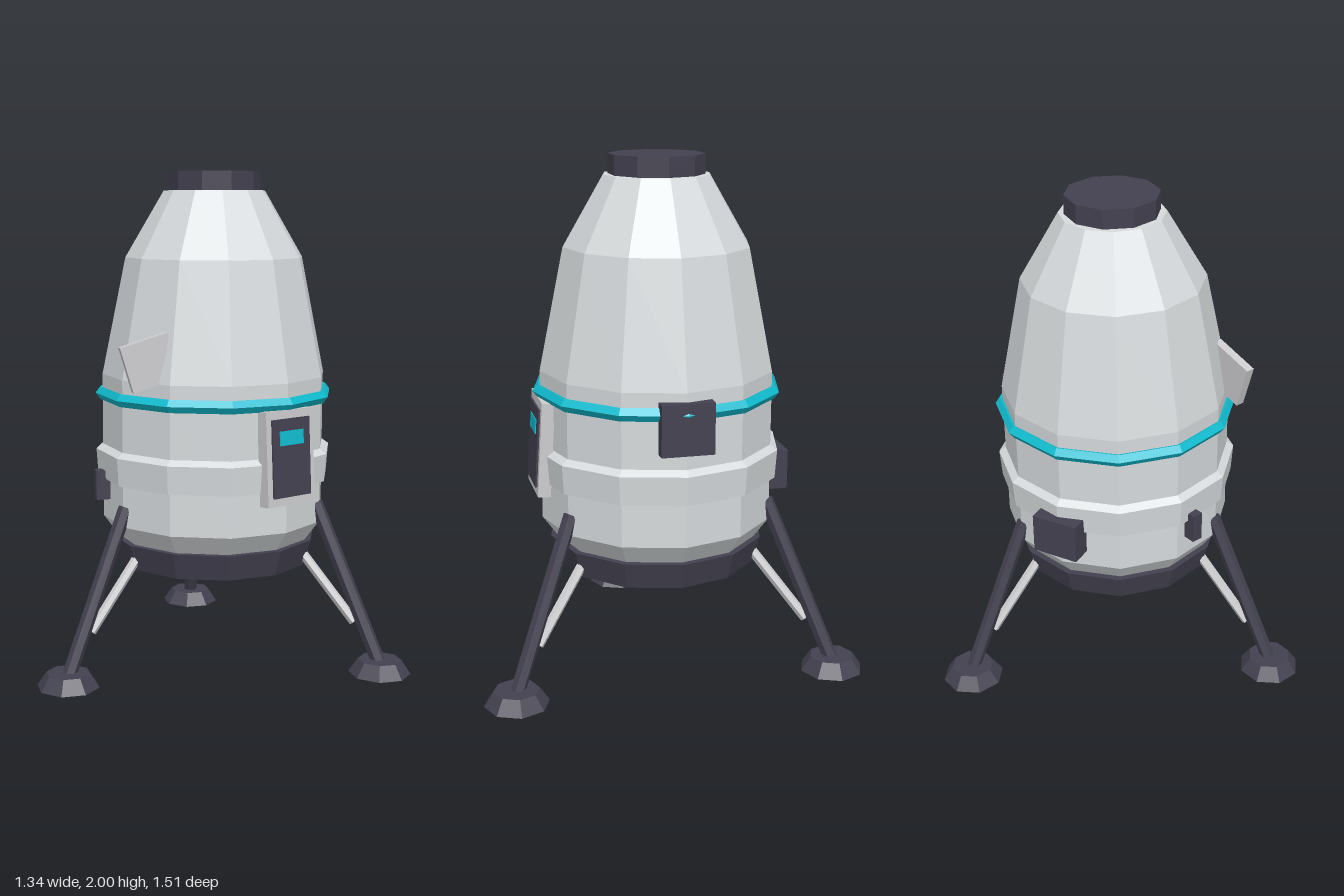
import * as THREE from 'three';

const AXIS = 0.18; // x of the capsule's vertical axis

function material(name, color) {
  const m = new THREE.MeshStandardMaterial({ color });
  m.name = name;
  return m;
}

export function createModel() {
  const white = material('hull white', 0xd6dadc);
  const trim = material('trim grey', 0xcccccf);
  const dark = material('dark metal', 0x434150);
  const teal = material('teal', 0x10bdd0);

  const model = new THREE.Group();
  model.name = 'landerCapsule';
  const craft = new THREE.Group();
  craft.name = 'craft';
  craft.position.x = AXIS;
  model.add(craft);

  // Adds a faceted mesh to a parent
  function add(parent, name, geometry, mat, x = 0, y = 0, z = 0) {
    const flat = geometry.index ? geometry.toNonIndexed() : geometry;
    flat.computeVertexNormals();
    const mesh = new THREE.Mesh(flat, mat);
    mesh.name = name;
    mesh.position.set(x, y, z);
    parent.add(mesh);
    return mesh;
  }
  const box = (w, h, d) => new THREE.BoxGeometry(w, h, d);
  const lathe = (points) =>
    new THREE.LatheGeometry(points.map(([r, y]) => new THREE.Vector2(r, y)), 12);

  // Straight rod between two points
  function rod(parent, name, from, to, radius, sides, mat) {
    const a = new THREE.Vector3(...from), b = new THREE.Vector3(...to);
    const dir = b.clone().sub(a);
    const mesh = add(parent, name, new THREE.CylinderGeometry(radius, radius, dir.length(), sides), mat);
    mesh.position.copy(a).lerp(b, 0.5);
    mesh.quaternion.setFromUnitVectors(new THREE.Vector3(0, 1, 0), dir.normalize());
  }

  // Hull with domed nose, including the recessed floor
  add(craft, 'hull', lathe([
    [0, 0.46], [0.32, 0.46], [0.4, 0.52], [0.458, 0.6], [0.458, 1.19],
    [0.362, 1.66], [0.206, 1.925], [0, 1.925],
  ]), white);
  add(craft, 'waistBand', lathe([
    [0.45, 0.77], [0.478, 0.77], [0.486, 0.882], [0.45, 0.908],
  ]), white);
  add(craft, 'baseRing', lathe([
    [0.305, 0.47], [0.305, 0.415], [0.395, 0.415], [0.426, 0.52], [0.39, 0.52],
  ]), dark);
  add(craft, 'tealRing', new THREE.TorusGeometry(0.46, 0.027, 5, 12).rotateX(Math.PI / 2), teal, 0, 1.112);
  add(craft, 'noseCap', new THREE.CylinderGeometry(0.184, 0.184, 0.077, 10).rotateY(Math.PI / 2), dark, 0, 1.9615);

  // Hatch, leaning back slightly
  const hatch = new THREE.Group();
  hatch.name = 'hatch';
  hatch.position.set(-0.003, 0.905, 0.457);
  hatch.rotation.x = -0.06;
  craft.add(hatch);
  add(hatch, 'hatchFrame', box(0.24, 0.37, 0.05), trim);
  add(hatch, 'hatchDoor', box(0.19, 0.305, 0.009), dark, 0, 0, 0.028);
  add(hatch, 'hatchWindow', box(0.12, 0.056, 0.008), teal, 0, 0.078, 0.032);

  // Equipment boxes on the sides and back
  add(craft, 'sideBox', box(0.055, 0.195, 0.2), dark, 0.4535, 1.058, 0);
  add(craft, 'backBox', box(0.19, 0.16, 0.085), dark, -0.005, 0.75, -0.4775);
  const smallBox = add(craft, 'smallBox', box(0.06, 0.12, 0.045), dark, -0.437, 0.745, -0.175);
  smallBox.rotation.y = -Math.atan2(0.175, 0.437);

  // Slanted panel standing out from the hull
  const panelShape = new THREE.Shape([
    [0, 0], [0.19, 0.057], [0.173, -0.137], [0.052, -0.174],
  ].map(([x, y]) => new THREE.Vector2(x, y)));
  const panelGeometry = new THREE.ExtrudeGeometry(panelShape, { depth: 0.036, bevelEnabled: false });
  panelGeometry.translate(0, 0, -0.018);
  const panel = add(craft, 'sidePanel', panelGeometry, trim, -0.363 - AXIS, 1.333, 0.103);
  panel.rotation.y = -0.39;

  // Three landing legs, each with a brace and an eight-sided foot
  for (let i = 0; i < 3; i++) {
    const turn = (i * Math.PI * 2) / 3;
    const leg = new THREE.Group();
    leg.name = 'landingLeg' + (i + 1);
    leg.rotation.y = turn;
    craft.add(leg);
    rod(leg, 'legStrut', [-0.722, 0.04, 0], [-0.445, 0.68, 0], 0.029, 6, dark);
    rod(leg, 'legBrace', [-0.615, 0.2, 0], [-0.37, 0.49, 0], 0.02, 6, trim);
    const foot = add(leg, 'foot', new THREE.CylinderGeometry(0.087, 0.125, 0.056, 8), dark, -0.725, 0.028, 0);
    foot.rotation.y = -turn;
  }
  return model;
}
